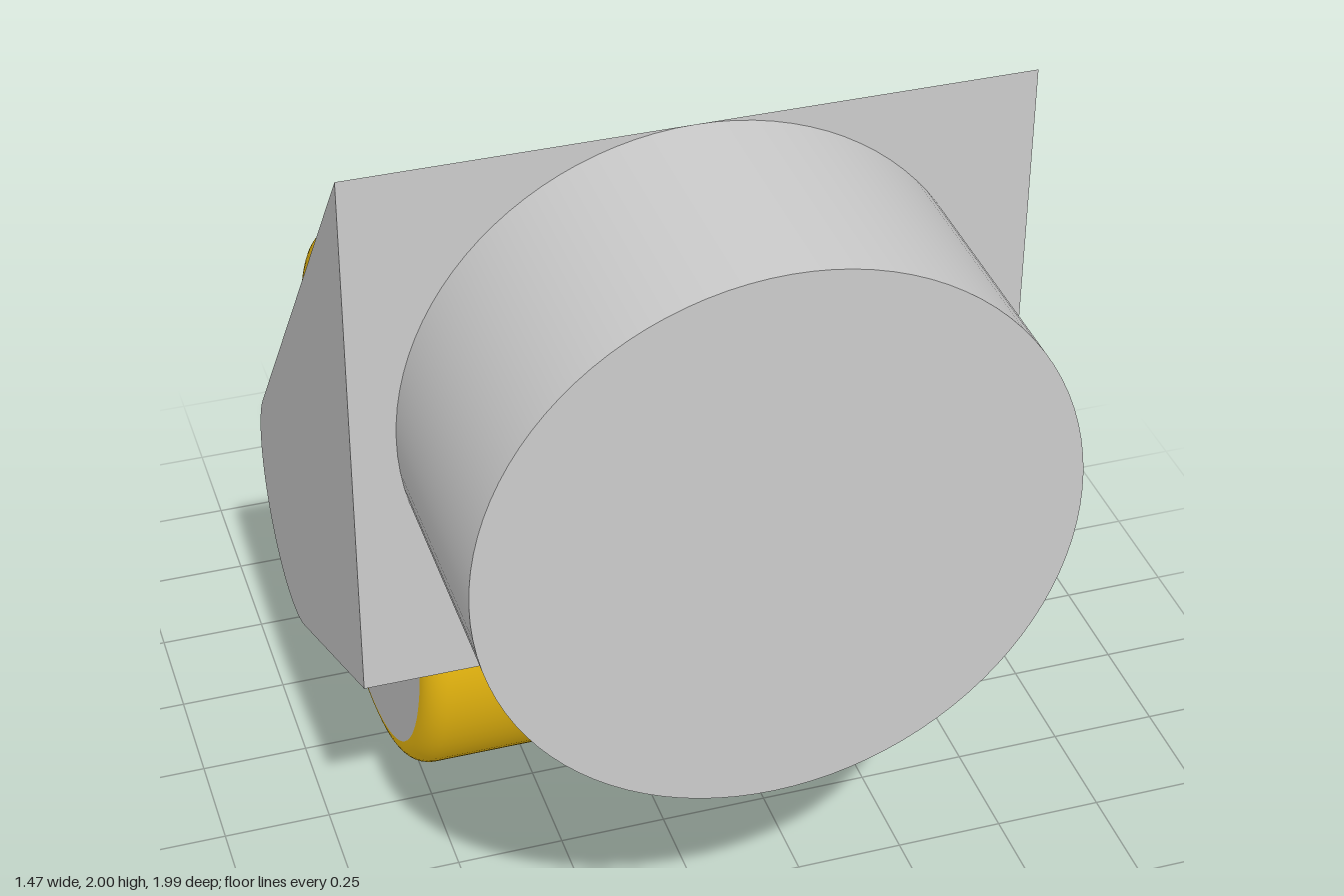
import * as THREE from 'three';
import { toCreasedNormals } from 'three/addons/utils/BufferGeometryUtils.js';

const WHEEL_Y = 0.64, WHEEL_Z = -0.355, WHEEL_R = 0.64, WHEEL_W = 0.48;
const FRONT = 0.425, TOP = 2, BOTTOM = 0.725, THICK = 0.08, HALF = 0.735;

export function createModel() {
  const group = new THREE.Group();
  const grey = new THREE.MeshStandardMaterial({ color: 0xcccccc });
  const yellow = new THREE.MeshStandardMaterial({ color: 0xf5c211 });

  const add = (name, geometry, material, parent = group) => {
    const mesh = new THREE.Mesh(geometry, material);
    mesh.name = name;
    parent.add(mesh);
    return mesh;
  };

  // Extrudes a side profile (drawn with -z to the right) from x0 over a width
  const sideExtrude = (shape, x0, width) => {
    const g = new THREE.ExtrudeGeometry(shape, { depth: width, bevelEnabled: false, curveSegments: 40 });
    g.rotateY(Math.PI / 2).translate(x0, 0, 0);
    return toCreasedNormals(g, 0.4);
  };

  // Fork arm: straight edges tangent to a round end about the axle
  const r = 0.275, cu = -WHEEL_Z;
  const tangent = (y, sign) => {
    const du = -FRONT - cu, dy = y - WHEEL_Y;
    return Math.atan2(dy, du) + sign * Math.acos(r / Math.hypot(du, dy));
  };
  const upper = tangent(TOP, -1), lower = tangent(BOTTOM, 1);
  const arm = new THREE.Shape();
  arm.moveTo(-FRONT, BOTTOM);
  arm.lineTo(-FRONT, TOP);
  arm.absarc(cu, WHEEL_Y, r, upper, lower, true);
  arm.closePath();
  add('leftForkArm', sideExtrude(arm, HALF - THICK, THICK), grey);
  add('rightForkArm', sideExtrude(arm, -HALF, THICK), grey);

  // Mounting plate between the arms, its ends cut along the arm slopes
  const plate = new THREE.Shape([
    new THREE.Vector2(-FRONT, BOTTOM),
    new THREE.Vector2(-FRONT + THICK, BOTTOM - THICK / Math.tan(lower)),
    new THREE.Vector2(-FRONT + THICK, TOP - THICK / Math.tan(upper)),
    new THREE.Vector2(-FRONT, TOP),
  ]);
  add('forkPlate', sideExtrude(plate, -HALF + THICK, 2 * (HALF - THICK)), grey);

  // Round mount on the front of the plate
  const mount = add('mount', new THREE.CylinderGeometry(0.638, 0.638, 0.57, 96), grey);
  mount.rotation.x = Math.PI / 2;
  mount.position.set(0, 1.362, FRONT + 0.285);

  // Tyre profile with rounded shoulders
  const fillet = 0.06, profile = [];
  for (const side of [-1, 1]) {
    for (let i = 0; i <= 8; i++) {
      const a = (side < 0 ? i - 8 : i) * Math.PI / 16;
      profile.push(new THREE.Vector2(
        WHEEL_R - fillet + fillet * Math.cos(a),
        side * (WHEEL_W / 2 - fillet) + fillet * Math.sin(a)));
    }
  }
  const tyreGeo = new THREE.LatheGeometry(profile, 96).rotateZ(Math.PI / 2);
  const hubGeo = new THREE.CylinderGeometry(WHEEL_R - fillet, WHEEL_R - fillet, WHEEL_W, 96).rotateZ(Math.PI / 2);

  // Twin wheels
  for (const side of [-1, 1]) {
    const wheel = new THREE.Group();
    wheel.name = side > 0 ? 'leftWheel' : 'rightWheel';
    wheel.position.set(side * 0.325, WHEEL_Y, WHEEL_Z);
    add('tyre', tyreGeo, yellow, wheel);
    add('hub', hubGeo, grey, wheel);
    group.add(wheel);
  }

  // Axle joining the wheels
  const axle = add('axle', new THREE.CylinderGeometry(0.08, 0.08, 0.2, 48), grey);
  axle.rotation.z = Math.PI / 2;
  axle.position.set(0, WHEEL_Y, WHEEL_Z);

  return group;
}
